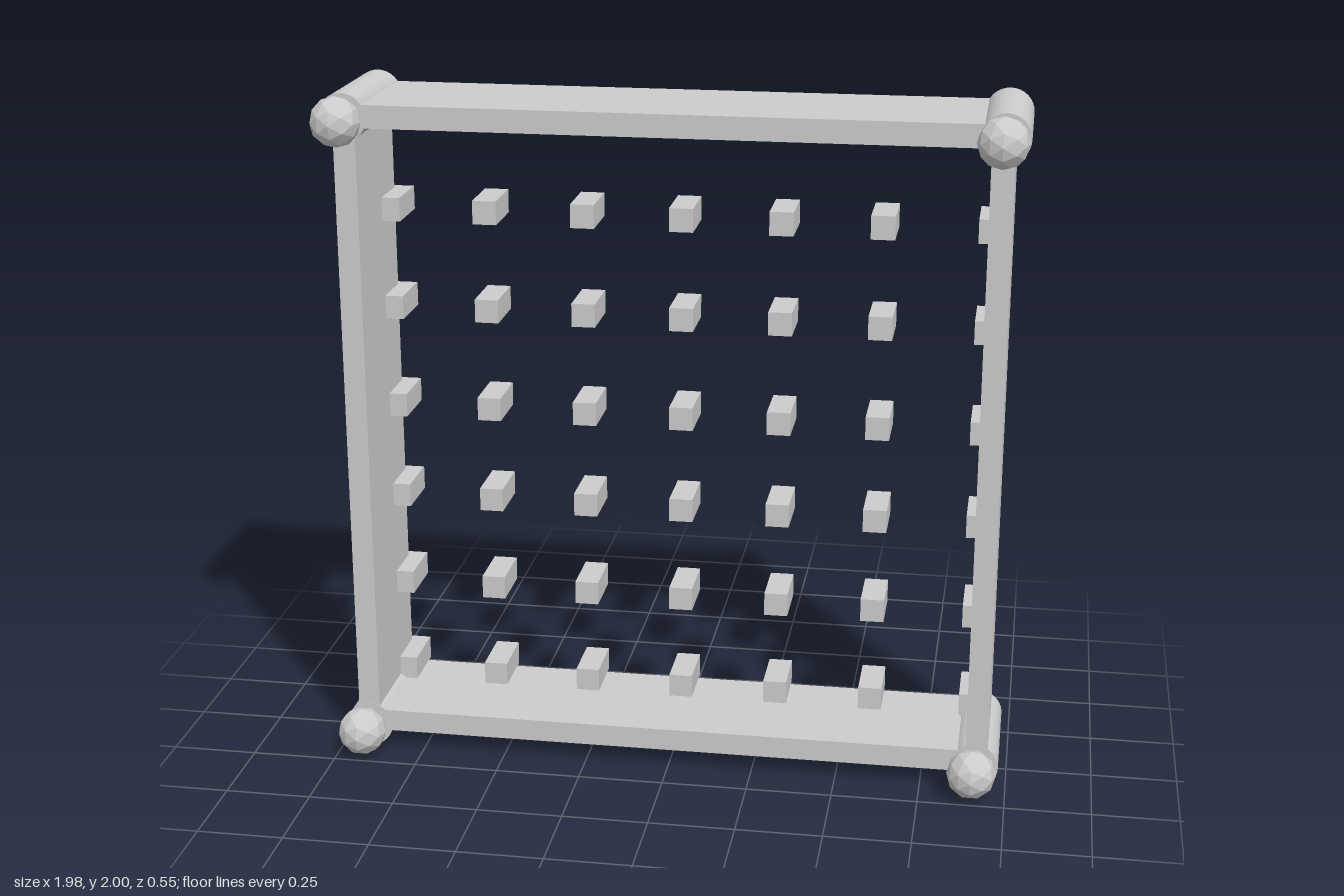
import * as THREE from 'three';

export function createModel() {
  const model = new THREE.Group();
  const grey = new THREE.MeshStandardMaterial({ color: 0xcccccc });
  grey.name = 'grey';
  const facetedGrey = grey.clone(); // same colour, faceted for the corner balls
  facetedGrey.flatShading = true;
  facetedGrey.name = 'faceted grey';

  const add = (name, geometry, x, y, z, material = grey) => {
    const mesh = new THREE.Mesh(geometry, material);
    mesh.name = name;
    mesh.position.set(x, y, z);
    model.add(mesh);
  };

  // Frame boards
  const depth = 0.38, midZ = -0.055;
  const upright = new THREE.BoxGeometry(0.064, 1.85, depth);
  const rail = new THREE.BoxGeometry(1.83, 0.066, depth);
  add('rightBoard', upright, -0.918, 1.005, midZ);
  add('leftBoard', upright, 0.913, 1.005, midZ);
  add('topBoard', rail, -0.003, 1.935, midZ);
  add('bottomBoard', rail, -0.003, 0.084, midZ);

  // Corner posts running front to back, each with a faceted ball in front
  const post = new THREE.CylinderGeometry(0.069, 0.069, depth + 0.002, 32).rotateX(Math.PI / 2);
  const ball = new THREE.IcosahedronGeometry(0.072, 1);
  const corners = [
    // post x, post y, ball x, ball y
    [-0.922, 1.931, -0.92, 1.932],
    [0.918, 1.931, 0.913, 1.932],
    [-0.918, 0.069, -0.923, 0.077],
    [0.908, 0.069, 0.901, 0.077],
  ];
  for (const [px, py, bx, by] of corners) {
    add('cornerPost', post, px, py, midZ);
    add('cornerBall', ball, bx, by, 0.203, facetedGrey);
  }

  // Grid of square pegs standing out at the back
  const peg = new THREE.BoxGeometry(0.07, 0.07, 0.167);
  const columns = [-0.868, -0.58, -0.29, 0, 0.29, 0.58, 0.884];
  const rows = [0.151, 0.44, 0.726, 1.014, 1.318, 1.615, 1.913];
  for (const y of rows) {
    for (const x of columns) add('peg', peg, x, y, -0.188);
  }

  return model;
}
